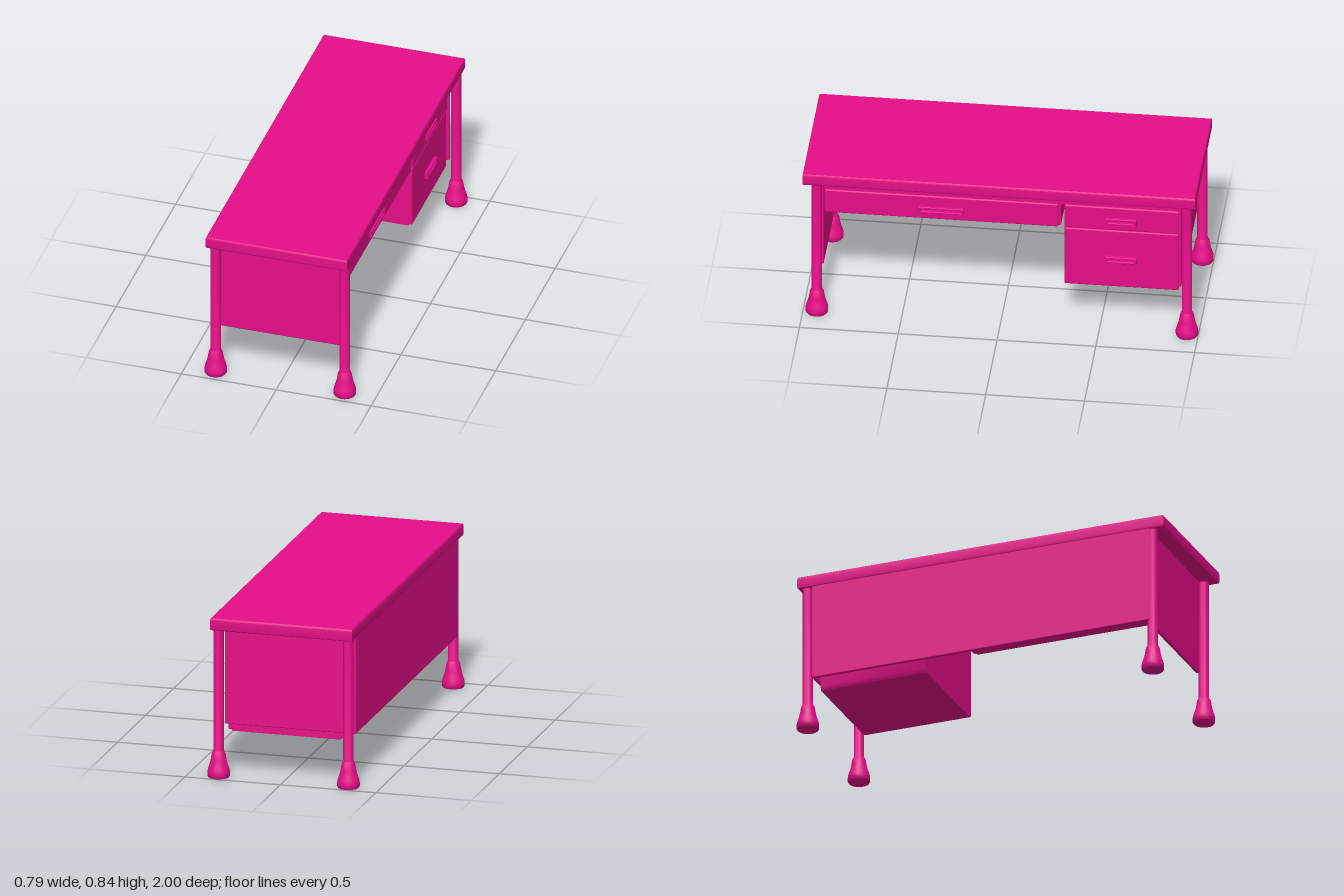
import * as THREE from 'three';
import { RoundedBoxGeometry } from 'three/addons/geometries/RoundedBoxGeometry.js';
import { toCreasedNormals } from 'three/addons/utils/BufferGeometryUtils.js';

const paint = new THREE.MeshStandardMaterial({ color: 0xe60e87 });

export function createModel() {
  const desk = new THREE.Group();
  desk.name = 'desk';

  const add = (name, geometry, parent = desk) => {
    const mesh = new THREE.Mesh(geometry, paint);
    mesh.name = name;
    parent.add(mesh);
    return mesh;
  };

  // Softly rounded block given by its limits on each axis
  const block = (name, [x0, x1], [y0, y1], [z0, z1], r = 0.006) => {
    const mesh = add(name, new RoundedBoxGeometry(x1 - x0, y1 - y0, z1 - z0, 2, r));
    mesh.position.set((x0 + x1) / 2, (y0 + y1) / 2, (z0 + z1) / 2);
    return mesh;
  };

  // Cross-section in x/y drawn out along z
  const prism = (name, points, z0, z1) => {
    const shape = new THREE.Shape(points.map(([x, y]) => new THREE.Vector2(x, y)));
    const geometry = new THREE.ExtrudeGeometry(shape, { depth: z1 - z0, bevelEnabled: false });
    geometry.translate(0, 0, z0);
    return add(name, toCreasedNormals(geometry, 0.6));
  };

  // Table top: outline bulging a little at mid height on all four sides
  const outline = new THREE.Shape();
  outline.moveTo(-0.368, -0.995);
  outline.lineTo(0.368, -0.995);
  outline.lineTo(0.368, 0.983);
  outline.lineTo(-0.368, 0.983);
  const top = new THREE.ExtrudeGeometry(outline, {
    depth: 0.035, bevelThickness: 0.014, bevelSize: 0.005, bevelSegments: 3,
  });
  top.rotateX(-Math.PI / 2);
  top.translate(0, 0.789, 0);
  add('tableTop', toCreasedNormals(top, 0.6));

  // Frame under the top
  block('apron', [-0.36, 0.3], [0.71, 0.78], [-0.91, 0.91], 0.003);

  // Long back panel and the two end panels
  block('modestyPanel', [-0.37, -0.352], [0.27, 0.78], [-0.912, 0.925]);
  block('endPanel', [-0.36, 0.318], [0.27, 0.78], [0.898, 0.914]);
  block('endPanel', [-0.36, 0.318], [0.27, 0.78], [-0.912, -0.896]);

  // Wide drawer over the knee space
  block('wideDrawer', [-0.355, 0.295], [0.58, 0.715], [-0.3, 0.898], 0.003);
  block('wideDrawerFront', [0.28, 0.308], [0.577, 0.713], [-0.288, 0.896], 0.008);

  // Pedestal with chamfered lower edges, and its two drawer fronts
  prism('pedestal', [
    [-0.285, 0.23], [0.283, 0.23], [0.296, 0.25], [0.296, 0.72], [-0.298, 0.72], [-0.298, 0.25],
  ], -0.893, -0.318);
  block('upperDrawerFront', [0.28, 0.308], [0.578, 0.713], [-0.9, -0.318], 0.008);
  block('lowerDrawerFront', [0.28, 0.304], [0.236, 0.573], [-0.896, -0.318], 0.008);

  // Pull: rounded frame with a bar across its opening
  const pull = (y, z, width) => {
    const rect = (path, w, h) => {
      path.moveTo(-w / 2, -h / 2);
      path.lineTo(w / 2, -h / 2);
      path.lineTo(w / 2, h / 2);
      path.lineTo(-w / 2, h / 2);
      path.closePath();
      return path;
    };
    const shape = rect(new THREE.Shape(), width - 0.006, 0.032);
    shape.holes.push(rect(new THREE.Path(), width - 0.022, 0.018));
    const group = new THREE.Group();
    group.name = 'drawerPull';
    add('pullFrame', new THREE.ExtrudeGeometry(shape, {
      depth: 0.014, bevelThickness: 0.004, bevelSize: 0.003, bevelSegments: 2,
    }), group);
    add('pullBar', new THREE.BoxGeometry(width - 0.02, 0.009, 0.012), group).position.set(0, 0.004, 0.006);
    group.rotation.y = Math.PI / 2;
    group.position.set(0.304, y, z);
    desk.add(group);
  };
  pull(0.635, 0.305, 0.23);
  pull(0.635, -0.606, 0.16);
  pull(0.404, -0.606, 0.16);

  // Round legs on flared feet
  const profile = [
    [0, 0], [0.053, 0], [0.057, 0.006], [0.057, 0.027], [0.053, 0.045], [0.045, 0.068],
    [0.04, 0.09], [0.035, 0.122], [0.028, 0.136], [0.0265, 0.14], [0.0265, 0.785],
  ].map(([r, y]) => new THREE.Vector2(r, y));
  const leg = toCreasedNormals(new THREE.LatheGeometry(profile, 24), 0.7);
  for (const x of [-0.34, 0.34]) {
    for (const z of [-0.943, 0.93]) add('leg', leg).position.set(x, 0, z);
  }

  return desk;
}
